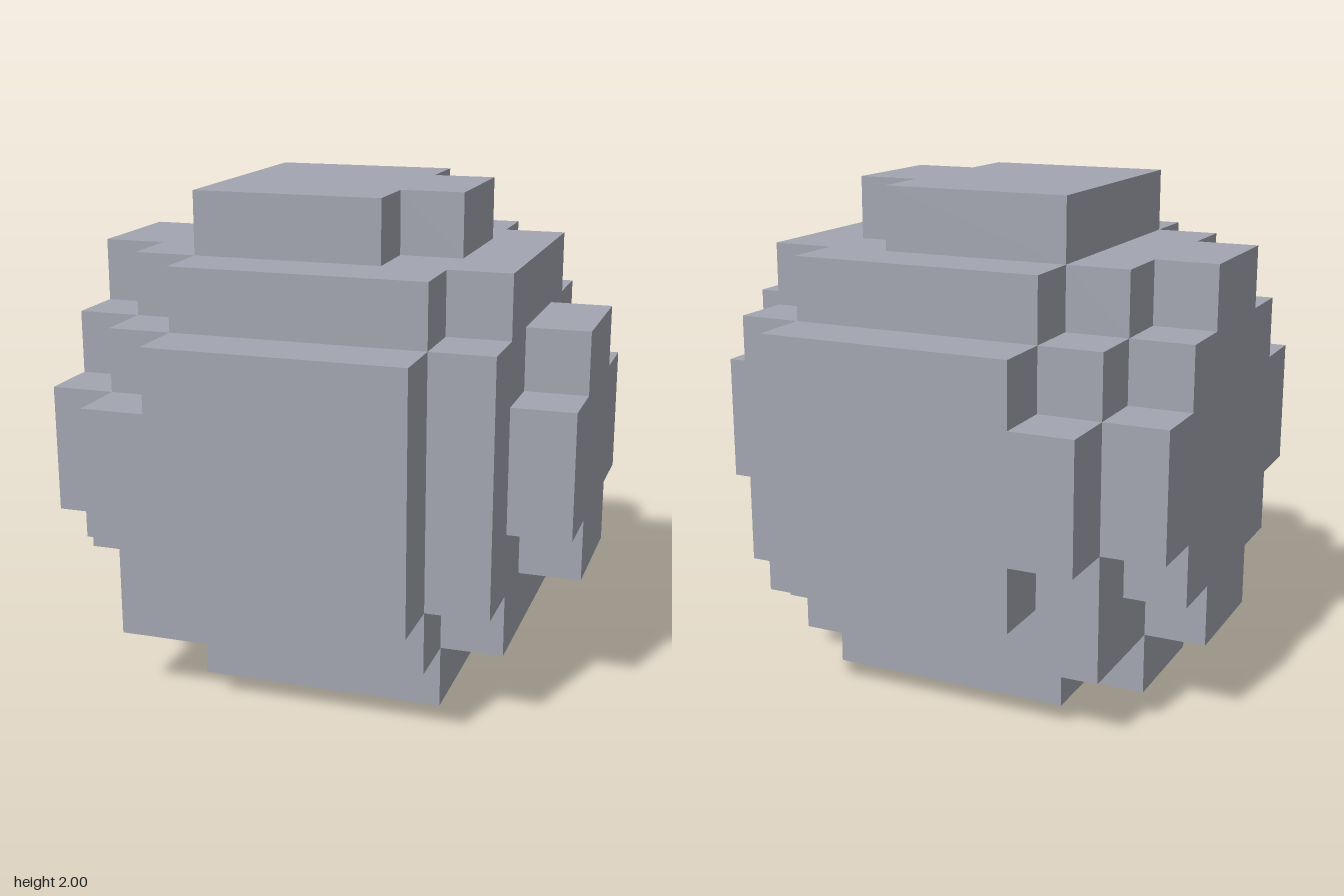
import * as THREE from 'three';

// Stepped outline: column i spans edges[i]..edges[i+1] and reaches +-heights[i].
function steppedShape(edges, heights) {
  const upper = [];
  heights.forEach((h, i) => upper.push([edges[i], h], [edges[i + 1], h]));
  const lower = upper.map(([u, v]) => [u, -v]).reverse();
  return new THREE.Shape([...upper, ...lower].map(([u, v]) => new THREE.Vector2(u, v)));
}

export function createModel() {
  const model = new THREE.Group();
  const stone = new THREE.MeshStandardMaterial({ color: 0xa3a6b0 });
  stone.name = 'stone grey';

  // Extrudes a stepped slab from `start` along the given axis.
  function slab(name, axis, start, depth, edges, heights) {
    const geometry = new THREE.ExtrudeGeometry(steppedShape(edges, heights), { depth, bevelEnabled: false });
    geometry.translate(0, 0, start);
    if (axis === 'x') geometry.rotateY(Math.PI / 2);
    if (axis === 'y') geometry.rotateX(-Math.PI / 2);
    if (axis !== 'y') geometry.translate(0, 1, 0);
    const mesh = new THREE.Mesh(geometry, stone);
    mesh.name = name;
    model.add(mesh);
  }

  // Core, stacked in three layers
  slab('lowerCore', 'y', 0.25, 0.25, [-0.75, 0.5, 0.75], [0.75, 0.5]);
  slab('middleCore', 'y', 0.5, 1, [-0.75, 0.75], [0.75]);
  slab('upperCore', 'y', 1.5, 0.25, [-0.75, -0.5, 0.5, 0.75], [0.5, 0.75, 0.5]);

  // Raised caps on the six sides
  slab('bottomCap', 'y', 0, 0.25, [-0.75, -0.5, 0.5], [0.25, 0.5]);
  slab('topCap', 'y', 1.75, 0.25, [-0.5, 0.25, 0.5], [0.5, 0.25]);
  slab('frontCap', 'z', 0.75, 0.25, [-0.75, -0.5, 0.5], [0.25, 0.5]);
  slab('backCap', 'z', -1, 0.25, [-0.75, -0.5, 0.5], [0.25, 0.5]);
  slab('leftCap', 'x', 0.75, 0.25, [-0.5, -0.25, 0.25, 0.5], [0.25, 0.5, 0.25]);
  slab('rightCap', 'x', -1, 0.25, [-0.75, -0.5, -0.25, 0.25, 0.5, 0.75], [0.25, 0.5, 0.75, 0.5, 0.25]);

  return model;
}
